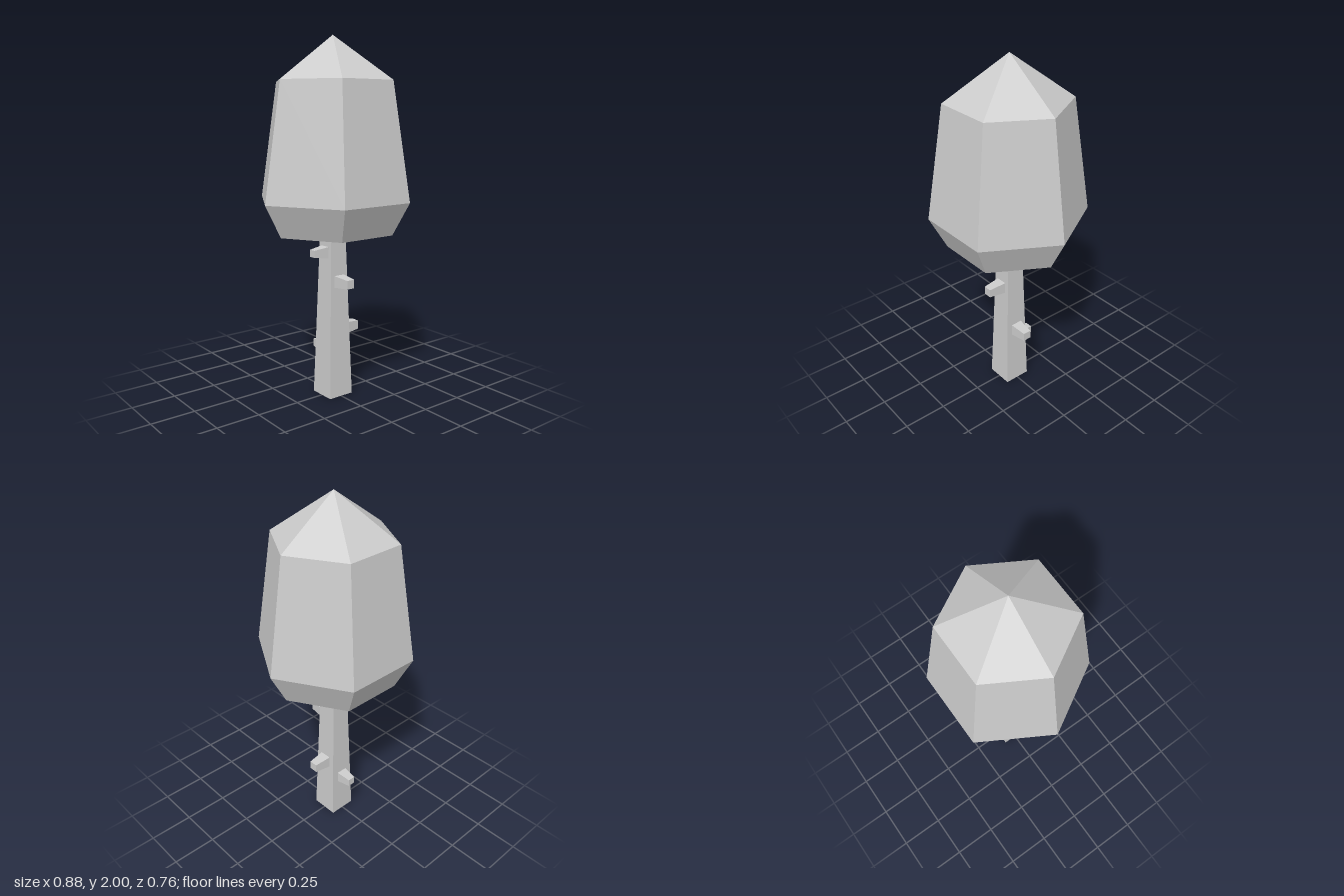
import * as THREE from 'three';

const material = new THREE.MeshStandardMaterial({ color: 0xcccccc, flatShading: true });

function addMesh(parent, name, geometry) {
  const mesh = new THREE.Mesh(geometry, material);
  mesh.name = name;
  parent.add(mesh);
  return mesh;
}

// Four-sided tapered post along y; sizes are half widths
function taperedPost(top, bottom, height) {
  return new THREE.CylinderGeometry(top * Math.SQRT2, bottom * Math.SQRT2, height, 4)
    .rotateY(Math.PI / 4)
    .translate(0, height / 2, 0);
}

export function createModel() {
  const tree = new THREE.Group();
  tree.name = 'tree';

  // Square trunk, narrowing upwards
  addMesh(tree, 'trunk', taperedPost(0.05, 0.078, 0.945));

  // Hexagonal crown with a closed underside and pointed top
  const profile = [[0, 0.94], [0.345, 0.94], [0.44, 1.12], [0.34, 1.76], [0, 2]]
    .map(([r, y]) => new THREE.Vector2(r, y));
  addMesh(tree, 'crown', new THREE.LatheGeometry(profile, 6).rotateY(Math.PI / 6));

  // Branch stubs, one per trunk face: turn about y, height, reach, end and base half widths
  const stubs = [
    ['leftStub', Math.PI / 2, 0.375, 0.165, 0.025, 0.036],
    ['rightStub', -Math.PI / 2, 0.83, 0.142, 0.02, 0.033],
    ['frontStub', 0, 0.667, 0.16, 0.024, 0.034],
    ['backStub', Math.PI, 0.26, 0.155, 0.022, 0.035],
  ];
  for (const [name, turn, y, reach, end, base] of stubs) {
    const start = 0.045;
    const geometry = taperedPost(end, base, reach - start)
      .rotateX(Math.PI / 2)
      .translate(0, 0, start);
    const stub = addMesh(tree, name, geometry);
    stub.rotation.y = turn;
    stub.position.y = y;
  }
  return tree;
}
